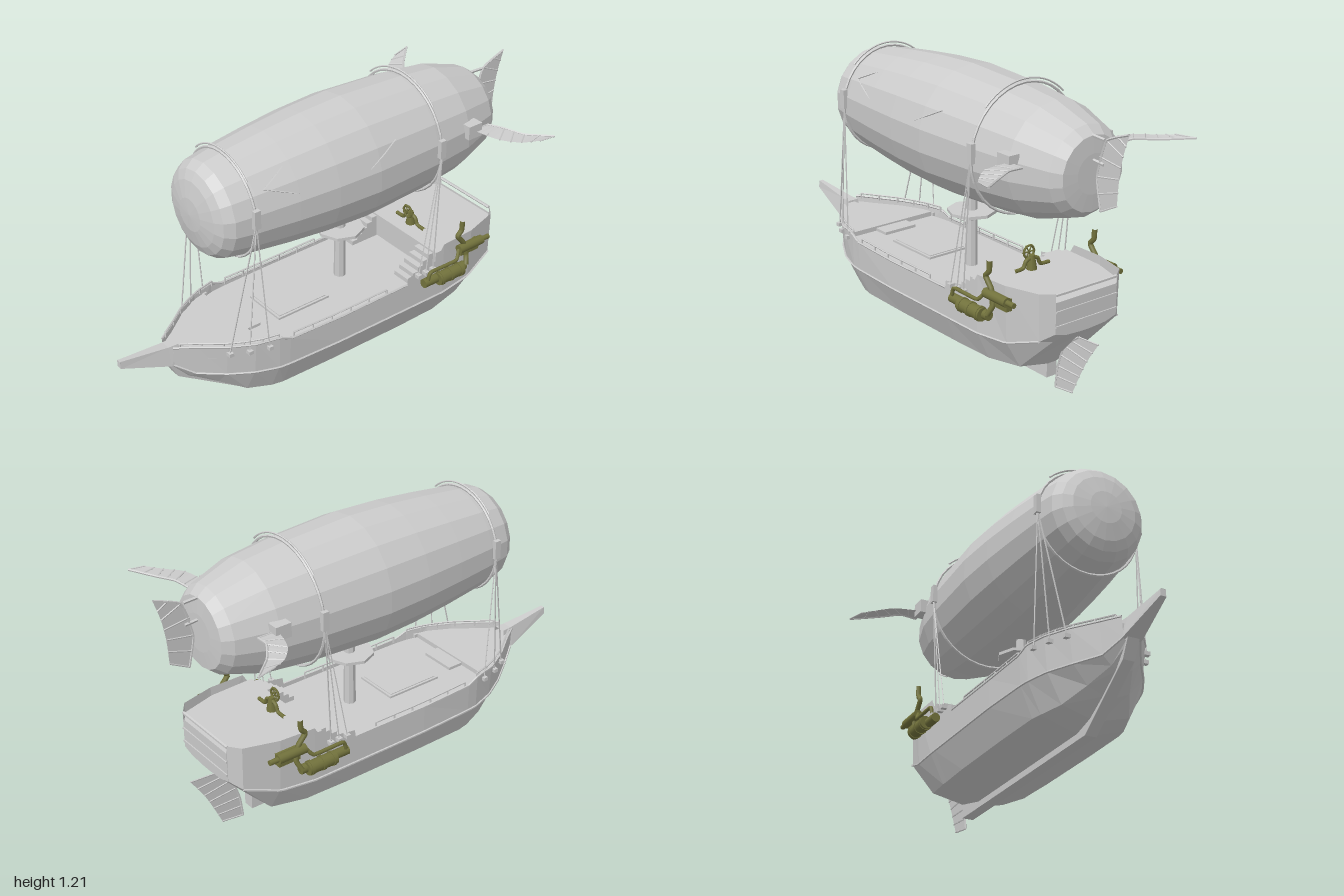
import * as THREE from 'three';

const grey = new THREE.MeshStandardMaterial({ color: 0xcccccc, flatShading: true, side: THREE.DoubleSide });
const olive = new THREE.MeshStandardMaterial({ color: 0x72723c });
const V = (p) => new THREE.Vector3(...p);

// Hull stations: z, keel y, lower chine x y, upper chine x y, gunwale x y
const stations = [
  [-0.81, 0.31, 0.1, 0.315, 0.155, 0.33, 0.155, 0.46],
  [-0.808, 0.31, 0.1, 0.315, 0.155, 0.33, 0.155, 0.495],
  [-0.77, 0.27, 0.13, 0.28, 0.2, 0.3, 0.205, 0.495],
  [-0.62, 0.1, 0.165, 0.13, 0.235, 0.25, 0.245, 0.49],
  [-0.46, 0.065, 0.19, 0.115, 0.25, 0.24, 0.25, 0.485],
  [-0.42, 0.065, 0.19, 0.115, 0.25, 0.24, 0.25, 0.42],
  [-0.262, 0.065, 0.195, 0.115, 0.25, 0.24, 0.25, 0.395],
  [-0.258, 0.065, 0.195, 0.115, 0.25, 0.24, 0.25, 0.365],
  [0.1, 0.065, 0.195, 0.115, 0.25, 0.24, 0.25, 0.362],
  [0.35, 0.065, 0.19, 0.115, 0.24, 0.24, 0.245, 0.367],
  [0.4, 0.065, 0.18, 0.115, 0.235, 0.24, 0.24, 0.39],
  [0.5, 0.09, 0.145, 0.125, 0.205, 0.245, 0.217, 0.39],
  [0.6, 0.145, 0.09, 0.175, 0.15, 0.25, 0.165, 0.392],
  [0.7, 0.21, 0.045, 0.225, 0.08, 0.26, 0.09, 0.395],
  [0.775, 0.29, 0.025, 0.3, 0.035, 0.31, 0.04, 0.395],
];

// Interpolate one station column at z
function at(z, col) {
  let i = 0;
  while (i < stations.length - 2 && stations[i + 1][0] < z) i++;
  const a = stations[i], b = stations[i + 1];
  return THREE.MathUtils.lerp(a[col], b[col], THREE.MathUtils.clamp((z - a[0]) / (b[0] - a[0]), 0, 1));
}

function add(parent, name, geo, mat = grey, pos = [0, 0, 0]) {
  const m = new THREE.Mesh(geo, mat);
  m.name = name;
  m.position.set(...pos);
  parent.add(m);
  return m;
}
const box = (parent, name, size, pos, mat) => add(parent, name, new THREE.BoxGeometry(...size), mat, pos);

// Straight round bar between two points
function rod(parent, name, a, b, r, mat = grey, sides = 5) {
  const p = V(a), q = V(b);
  const m = add(parent, name, new THREE.CylinderGeometry(r, r, p.distanceTo(q), sides), mat);
  m.position.copy(p).add(q).multiplyScalar(0.5);
  m.quaternion.setFromUnitVectors(new THREE.Vector3(0, 1, 0), q.sub(p).normalize());
  return m;
}

// Round bar along a list of points
function pipe(parent, name, pts, r, mat = grey, tension = 0.2, sides = 5) {
  const c = new THREE.CatmullRomCurve3(pts.map(V), false, 'catmullrom', tension);
  return add(parent, name, new THREE.TubeGeometry(c, pts.length * 5, r, sides), mat);
}

// Surface through rows of points
function loft(rows, capFirst = false) {
  const n = rows[0].length, idx = [];
  for (let i = 0; i < rows.length - 1; i++)
    for (let j = 0; j < n - 1; j++) {
      const a = i * n + j, b = a + n;
      idx.push(a, a + 1, b, a + 1, b + 1, b);
    }
  if (capFirst) for (let j = 1; j < n - 1; j++) idx.push(0, j + 1, j);
  const g = new THREE.BufferGeometry();
  g.setAttribute('position', new THREE.Float32BufferAttribute(rows.flat(2), 3));
  g.setIndex(idx);
  g.computeVertexNormals();
  return g;
}

// Deck slab that follows the hull's plan
function deck(parent, name, z0, z1, y, h) {
  const zs = [z0, ...stations.map((s) => s[0]).filter((z) => z > z0 && z < z1), z1];
  const side = zs.map((z) => new THREE.Vector2(at(z, 6) - 0.006, -z));
  const shape = new THREE.Shape([...side, ...side.map((p) => new THREE.Vector2(-p.x, p.y)).reverse()]);
  const g = new THREE.ExtrudeGeometry(shape, { depth: h, bevelEnabled: false });
  add(parent, name, g.rotateX(-Math.PI / 2), grey, [0, y, 0]);
}

// Ribbed sail fin between a leading and a trailing edge
function fin(parent, name, lead, trail) {
  const g = new THREE.Group();
  g.name = name;
  const [a, b] = [lead, trail].map((e) => new THREE.CatmullRomCurve3(e.map(V)).getPoints(12).map((p) => p.toArray()));
  add(g, 'finSkin', loft(a.map((p, i) => [p, b[i]])));
  pipe(g, 'finSpar', lead, 0.005);
  for (let i = 0; i <= 12; i += 2) if (V(a[i]).distanceTo(V(b[i])) > 0.01) rod(g, 'finRib', a[i], b[i], 0.0035);
  parent.add(g);
}

function buildHull(root) {
  const hull = new THREE.Group();
  hull.name = 'hull';
  root.add(hull);
  const rows = stations.map(([z, yk, xc, yc, xm, ym, xg, yg]) => {
    const half = [[xg, yg, z], [xm, ym, z], [xc, yc, z], [0.02, yk, z]];
    return [...half, ...half.map(([x, y]) => [-x, y, z]).reverse()];
  });
  add(hull, 'hullPlanking', loft(rows, true));

  // Keel and stem
  const keel = new THREE.Shape([[-0.62, 0.04], [0.46, 0.04], [0.75, 0.235], [0.79, 0.31], [0.75, 0.33], [0.68, 0.25], [0.43, 0.085], [-0.62, 0.115]].map((p) => new THREE.Vector2(-p[0], p[1])));
  add(hull, 'keel', new THREE.ExtrudeGeometry(keel, { depth: 0.05, bevelEnabled: false }).translate(0, 0, -0.025).rotateY(Math.PI / 2));

  // Bowsprit tapering forward
  const sprit = [[0.74, 0.04, 0.3, 0.025, 0.392], [0.785, 0.04, 0.31, 0.022, 0.392], [1, 0.013, 0.385, 0.009, 0.415]]
    .map(([z, w, y0, v, y1]) => [[w, y0, z], [v, y1, z], [-v, y1, z], [-w, y0, z], [w, y0, z]]);
  add(hull, 'bowsprit', loft(sprit));
  box(hull, 'bowspritTip', [0.022, 0.028, 0.004], [0, 0.4, 0.998]);

  deck(hull, 'mainDeck', -0.43, 0.77, 0.335, 0.015);
  deck(hull, 'foreDeck', 0.45, 0.77, 0.35, 0.02);
  deck(hull, 'quarterDeck', -0.805, -0.42, 0.35, 0.105);
  box(hull, 'foreStep', [0.16, 0.015, 0.08], [0, 0.355, 0.42]);
  box(hull, 'hatchFrame', [0.2, 0.012, 0.26], [0, 0.353, 0.17]);
  box(hull, 'hatchCover', [0.18, 0.012, 0.24], [0, 0.356, 0.17]);
  rod(hull, 'sternRail', [-0.155, 0.489, -0.806], [0.155, 0.489, -0.806], 0.007);
  for (const y of [0.36, 0.42]) box(hull, 'sternBand', [0.31, 0.008, 0.008], [0, y, -0.811]);

  for (const s of [-1, 1]) {
    // Rubbing strakes and gunwale cap
    pipe(hull, 'strake', stations.slice(2).map((t) => [s * (t[4] + 0.002), t[5], t[0]]), 0.005, grey, 0);
    pipe(hull, 'gunwaleCap', stations.slice(7).map((t) => [s * t[6], t[7], t[0]]), 0.005, grey, 0);
    // Quarterdeck stairs
    for (let i = 0; i < 5; i++) box(hull, 'stair', [0.09, 0.02 * (i + 1), 0.027], [s * 0.185, 0.35 + 0.01 * (i + 1), -0.295 - i * 0.027]);
    // Rails with posts
    for (const [z0, z1, h] of [[0.4, 0.75, 0.014], [-0.15, 0.33, 0.02]]) {
      const pts = [];
      for (let i = 0; i <= 5; i++) {
        const z = z0 + (z1 - z0) * i / 5, x = s * (at(z, 6) - 0.006), y = at(z, 7);
        pts.push([x, y + h, z]);
        rod(hull, 'railPost', [x, y - 0.01, z], [x, y + h, z], 0.004);
      }
      pipe(hull, 'rail', pts, 0.004);
    }
  }
}

function buildBalloon(root) {
  const b = new THREE.Group();
  b.name = 'balloon';
  b.position.set(-0.011, 0.935, 0);
  root.add(b);
  const profile = [[0, -0.815], [0.08, -0.815], [0.15, -0.81], [0.182, -0.77], [0.235, -0.6], [0.256, -0.41], [0.271, -0.1], [0.262, 0.1], [0.245, 0.28], [0.223, 0.46], [0.205, 0.56], [0.178, 0.598], [0.14, 0.617], [0.07, 0.632], [0, 0.636]];
  add(b, 'envelope', new THREE.LatheGeometry(profile.map((p) => new THREE.Vector2(...p)), 18).rotateX(Math.PI / 2));
  for (const [r, z] of [[0.224, 0.48], [0.263, -0.42]]) {
    add(b, 'strap', new THREE.TorusGeometry(r, 0.006, 5, 36), grey, [0, 0, z]);
    add(b, 'strapArch', new THREE.TorusGeometry(r + 0.014, 0.004, 5, 20, Math.PI * 0.5).rotateZ(Math.PI / 4), grey, [0, 0, z]);
    for (const s of [-1, 1]) box(b, 'strapBuckle', [0.02, 0.08, 0.028], [s * r, 0.03, z]);
  }
  for (const s of [-1, 1]) box(b, 'finMount', [0.05, 0.06, 0.07], [s * 0.235, 0.045, -0.605]);
  // Raised seam on the left flank
  const seam = [[0.25, 0.2], [0.42, 0.125], [0.25, 0.06], [0.09, 0.0], [-0.2, 0.14]];
  const radius = (z) => 0.271 - Math.max(0, z + 0.1) * 0.075;
  for (let i = 0; i < 4; i++) {
    const p = [];
    for (let k = 0; k <= 4; k++) {
      const z = THREE.MathUtils.lerp(seam[i][0], seam[i + 1][0], k / 4), y = THREE.MathUtils.lerp(seam[i][1], seam[i + 1][1], k / 4);
      p.push([Math.sqrt(radius(z) ** 2 - y * y) - 0.004, y, z]);
    }
    pipe(b, 'seam', p, 0.003, grey, 0, 4);
  }

  // Side fins, tail fin and rudder
  fin(root, 'rightFin', [[-0.24, 0.975, -0.7], [-0.31, 0.985, -0.71], [-0.39, 0.98, -0.765], [-0.49, 0.992, -0.87]], [[-0.24, 0.975, -0.61], [-0.365, 0.98, -0.655], [-0.43, 0.98, -0.715], [-0.465, 0.99, -0.78]]);
  fin(root, 'leftFin', [[0.23, 0.975, -0.69], [0.31, 0.985, -0.71], [0.39, 0.98, -0.745], [0.49, 0.992, -0.815]], [[0.23, 0.975, -0.61], [0.36, 0.98, -0.635], [0.43, 0.98, -0.69], [0.478, 0.99, -0.745]]);
  fin(root, 'tailFin', [[-0.008, 1.13, -0.995], [-0.008, 1.08, -0.88], [-0.008, 0.93, -0.835], [-0.008, 0.8, -0.86]], [[-0.008, 1.125, -0.995], [-0.008, 1.04, -0.968], [-0.008, 0.95, -0.952], [-0.008, 0.845, -0.945]]);
  for (const [y, z] of [[1.085, -0.75], [0.99, -0.8]]) rod(root, 'tailStrut', [-0.008, y, z], [-0.008, y - 0.005, -0.87], 0.007);
  fin(root, 'rudder', [[0.003, 0.005, -0.648], [0.003, 0.1, -0.66], [0.003, 0.2, -0.695], [0.003, 0.265, -0.775]], [[0.003, 0.018, -0.748], [0.003, 0.1, -0.785], [0.003, 0.18, -0.825], [0.003, 0.272, -0.885]]);
}

function buildRigging(root) {
  for (const s of [-1, 1])
    for (const [zt, xt, yd, feet] of [[0.48, 0.222, 0.365, [[0.595, 0.172], [0.525, 0.207], [0.445, 0.232]]], [-0.42, 0.265, 0.4, [[-0.31, 0.262], [-0.35, 0.262], [-0.39, 0.262]]]])
      for (const [z, x] of feet) {
        rod(root, 'rope', [s * xt - 0.011, 0.94, zt], [s * x, yd, z], 0.003, grey, 4);
        box(root, 'ropeCleat', [0.025, 0.016, 0.02], [s * x, yd - 0.005, z]);
      }
}

function buildMast(root) {
  const m = new THREE.Group();
  m.name = 'mast';
  m.position.set(-0.008, 0, -0.103);
  root.add(m);
  add(m, 'mastPole', new THREE.CylinderGeometry(0.022, 0.026, 0.35, 8), grey, [0, 0.515, 0]);
  add(m, 'lookout', new THREE.CylinderGeometry(0.102, 0.102, 0.013, 8), grey, [0, 0.586, 0]);
  add(m, 'lookoutBracket', new THREE.CylinderGeometry(0.04, 0.024, 0.03, 8), grey, [0, 0.565, 0]);
}

function buildEngines(root) {
  for (const s of [-1, 1]) {
    const e = new THREE.Group();
    e.name = s > 0 ? 'leftEngine' : 'rightEngine';
    e.position.x = -0.008;
    root.add(e);
    const x = s * 0.292;
    const drum = (name, r, z0, z1, y, dx) => rod(e, name, [dx, y, z0], [dx, y, z1], r, olive, 14);
    drum('boiler', 0.028, -0.4, -0.535, 0.352, x);
    drum('boilerCap', 0.02, -0.33, -0.56, 0.352, x - s * 0.012);
    for (const z of [-0.415, -0.465, -0.52]) drum('boilerBand', 0.031, z - 0.006, z + 0.006, 0.352, x);
    drum('cylinder', 0.02, -0.53, -0.66, 0.44, s * 0.275);
    drum('piston', 0.011, -0.66, -0.7, 0.44, s * 0.275);
    box(e, 'engineMount', [0.03, 0.05, 0.1], [s * 0.255, 0.42, -0.6], olive);
    pipe(e, 'exhaustPipe', [[x, 0.36, -0.56], [s * 0.275, 0.4, -0.575], [s * 0.27, 0.46, -0.56], [s * 0.27, 0.505, -0.525], [s * 0.27, 0.53, -0.545], [s * 0.27, 0.575, -0.548]], 0.011, olive, 0.3, 8);
    pipe(e, 'steamPipe', [[x, 0.37, -0.345], [x, 0.405, -0.36], [x, 0.405, -0.5], [s * 0.275, 0.44, -0.53]], 0.008, olive, 0.2, 8);
  }
  // Helm with curved pipes on the quarterdeck
  const h = new THREE.Group();
  h.name = 'helm';
  root.add(h);
  add(h, 'helmColumn', new THREE.CylinderGeometry(0.012, 0.022, 0.06, 8), olive, [0, 0.485, -0.49]);
  add(h, 'helmWheel', new THREE.TorusGeometry(0.026, 0.005, 6, 16), olive, [0, 0.522, -0.472]);
  for (let i = 0; i < 3; i++) {
    const a = i * Math.PI / 3, c = Math.cos(a) * 0.032, d = Math.sin(a) * 0.032;
    rod(h, 'wheelSpoke', [-c, 0.522 - d, -0.472], [c, 0.522 + d, -0.472], 0.003, olive);
  }
  for (const s of [-1, 1]) pipe(h, 'helmPipe', [[0, 0.505, -0.49], [s * 0.03, 0.495, -0.49], [s * 0.045, 0.468, -0.49], [s * 0.09, 0.465, -0.49]], 0.008, olive, 0.4, 8);
}

export function createModel() {
  const root = new THREE.Group();
  root.name = 'airship';
  buildHull(root);
  buildBalloon(root);
  buildRigging(root);
  buildMast(root);
  buildEngines(root);
  return root;
}
